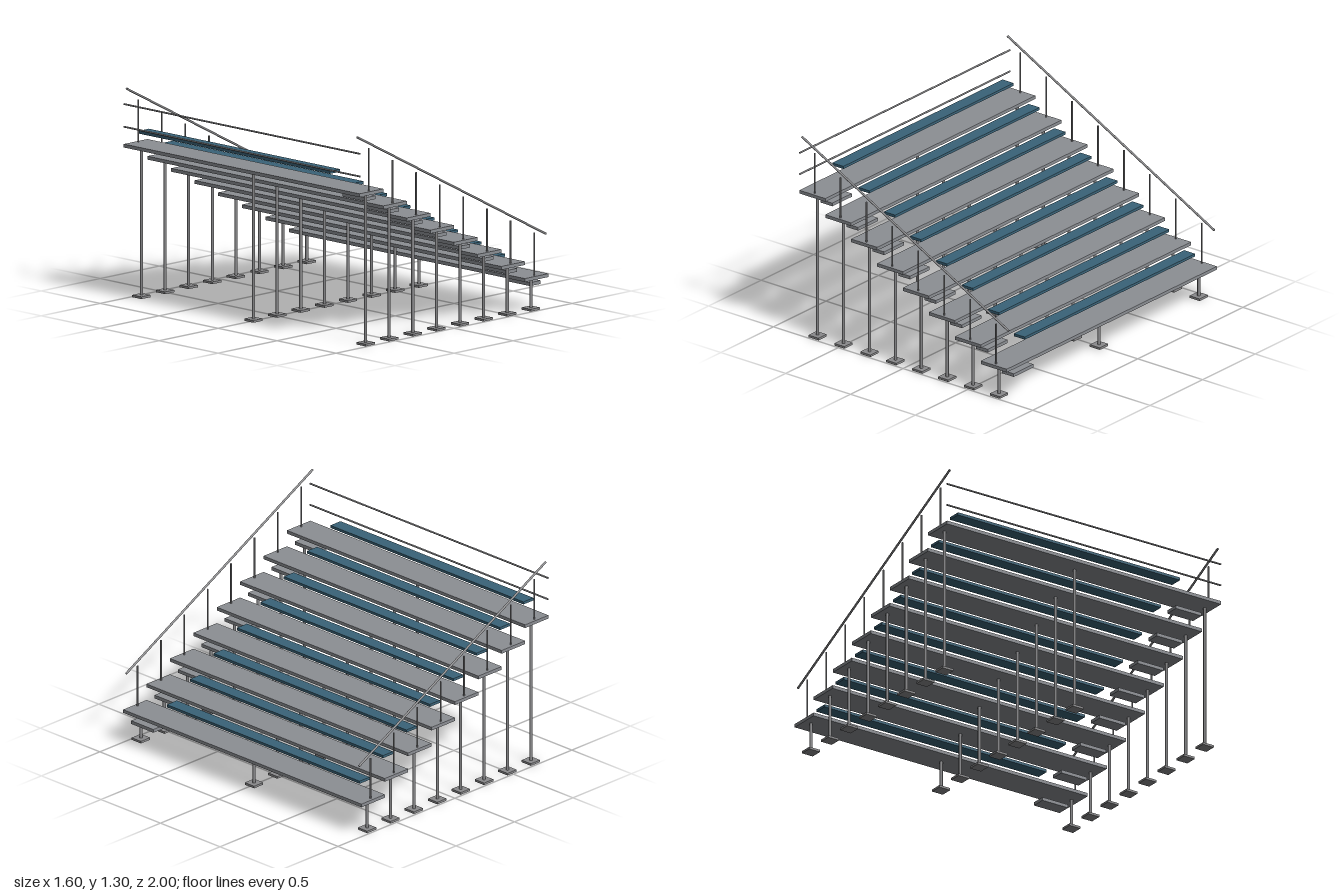
import * as THREE from 'three';

export function createModel() {
  const model = new THREE.Group();
  model.name = 'bleachers';

  const material = (name, color) => {
    const m = new THREE.MeshStandardMaterial({ color });
    m.name = name;
    return m;
  };
  const deckGrey = material('deck grey', 0x8c8f94);
  const steelGrey = material('steel grey', 0x8a8a8c);
  const seatBlue = material('seat blue', 0x3a6378);

  const add = (parent, name, geometry, mat, x, y, z) => {
    const mesh = new THREE.Mesh(geometry, mat);
    mesh.name = name;
    mesh.position.set(x, y, z);
    parent.add(mesh);
    return mesh;
  };
  // Round bar between two points
  const bar = (parent, name, a, b, radius) => {
    const from = new THREE.Vector3(...a), to = new THREE.Vector3(...b);
    const dir = to.clone().sub(from);
    const mid = from.clone().add(to).multiplyScalar(0.5);
    const mesh = add(parent, name, new THREE.CylinderGeometry(radius, radius, dir.length(), 12), steelGrey, mid.x, mid.y, mid.z);
    mesh.quaternion.setFromUnitVectors(new THREE.Vector3(0, 1, 0), dir.normalize());
  };

  const treadGeo = new THREE.BoxGeometry(0.2, 0.021, 2);
  const seatGeo = new THREE.BoxGeometry(0.085, 0.017, 1.62);
  const stepGeo = new THREE.BoxGeometry(0.09, 0.021, 0.187);
  const footGeo = new THREE.BoxGeometry(0.078, 0.014, 0.078);

  // Eight rows, rising from +x to -x
  for (let i = 0; i < 8; i++) {
    const row = new THREE.Group();
    row.name = `row${i + 1}`;
    model.add(row);
    const x = 0.7 - i * 0.2;
    const y = 0.203 + i * 0.1047;

    add(row, 'tread', treadGeo, deckGrey, x, y, 0);
    add(row, 'seat', seatGeo, seatBlue, x - 0.03, y + 0.094, -0.09);
    add(row, 'aisleStep', stepGeo, deckGrey, x + 0.055, y - 0.052, 0.84);

    // Supports with square feet
    for (const z of [-0.95, 0, 0.95]) {
      bar(row, 'supportPost', [x, 0.007, z], [x, y, z], 0.0095);
      add(row, 'foot', footGeo, steelGrey, x, 0.007, z);
    }
    // Handrail uprights at both ends
    for (const z of [-0.978, 0.978]) {
      bar(row, 'railPost', [x, y, z], [x, y + 0.272, z], 0.0052);
    }
  }

  // Sloping side handrails
  for (const z of [-0.978, 0.978]) {
    bar(model, 'sideRail', [-0.798, 1.289, z], [0.798, 0.455, z], 0.0068);
  }
  // Two level rails behind the top row
  for (const y of [1.052, 1.191]) {
    bar(model, 'backRail', [-0.797, y, -1], [-0.797, y, 1], 0.0055);
  }

  return model;
}
